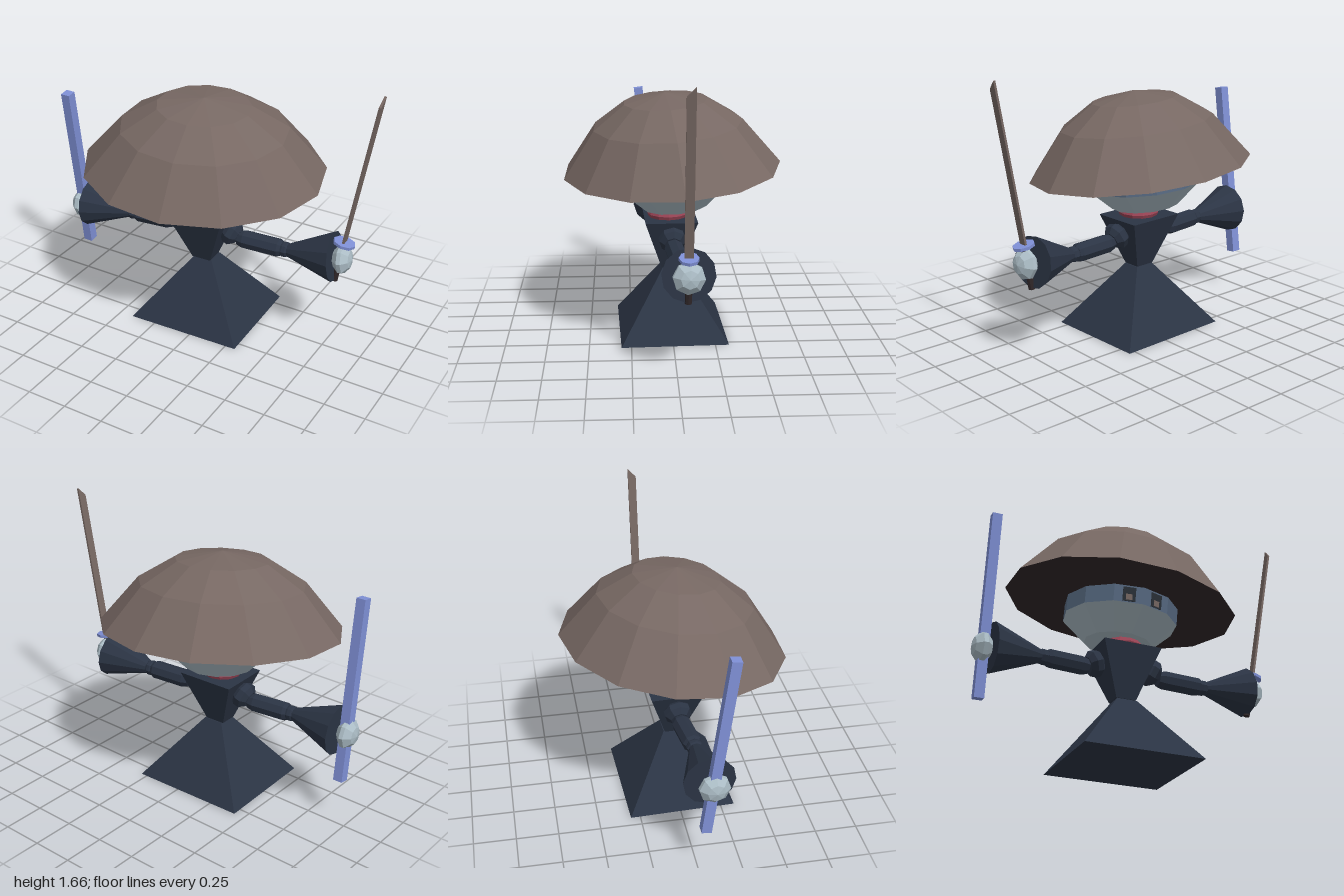
import * as THREE from 'three';

const mat = (name, color) => Object.assign(new THREE.MeshStandardMaterial({ color, flatShading: true }), { name });
const v = (x, y, z) => new THREE.Vector3(x, y, z);
const UP = v(0, 1, 0);

export function createModel() {
  const root = new THREE.Group();
  root.name = 'strawHatSwordsman';

  const cloth = mat('darkCloth', 0x2b3444);
  const straw = mat('strawBrown', 0x776863);
  const darkBrown = mat('darkBrown', 0x31282a);
  const skin = mat('paleSkin', 0xabbcc5);
  const band = mat('blueBand', 0x576a82);
  const scarf = mat('redScarf', 0x984354);
  const blue = mat('swordBlue', 0x7f90d6);
  const eyeDark = mat('eyeDark', 0x2a3038);

  const add = (parent, name, geometry, material, x = 0, y = 0, z = 0) => {
    const m = new THREE.Mesh(geometry, material);
    m.name = name;
    m.position.set(x, y, z);
    parent.add(m);
    return m;
  };
  // Profile given bottom to top as [radius, height]
  const lathe = (pts, sides, start = 0) =>
    new THREE.LatheGeometry(pts.map(p => new THREE.Vector2(...p)), sides, start);
  // Four-sided frustum standing on its base, given half widths
  const frustum = (bottom, top, h, depthRatio) =>
    new THREE.CylinderGeometry(top * Math.SQRT2, bottom * Math.SQRT2, h, 4)
      .rotateY(Math.PI / 4).scale(1, 1, depthRatio).translate(0, h / 2, 0);
  // Turns a part built along +y so that it runs from a to b
  const aim = (mesh, a, b) => {
    mesh.position.copy(a);
    mesh.quaternion.setFromUnitVectors(UP, b.clone().sub(a).normalize());
  };

  // Body: skirt, torso and scarf
  const body = new THREE.Group();
  body.name = 'body';
  body.position.set(-0.06, 0, 0.001);
  body.rotation.y = 0.033;
  root.add(body);
  add(body, 'skirt', frustum(0.362, 0.062, 0.392, 0.885), cloth);
  add(body, 'torso', frustum(0.062, 0.181, 0.313, 0.87), cloth, -0.008, 0.392, 0.006);
  add(body, 'scarf', lathe([[0, 0], [0.115, 0], [0.125, 0.025], [0.11, 0.055], [0, 0.055]], 12),
    scarf, -0.015, 0.7, 0.018);

  // Head and hat share one tilt
  const head = new THREE.Group();
  head.name = 'head';
  head.position.set(-0.075, 1.01, 0.002);
  head.rotation.set(0.08, 0, -0.05);
  root.add(head);

  // Oval hat, its long axis turned towards the left back
  const hat = new THREE.Group();
  hat.name = 'hat';
  hat.rotation.y = 0.343;
  hat.scale.set(1.125, 1, 0.987);
  head.add(hat);
  add(hat, 'hatCrown', lathe([[0.652, 0], [0.447, 0.273], [0.25, 0.41], [0, 0.46]], 13, 2.716), straw);
  add(hat, 'hatUnderside', lathe([[0, 0], [0.652, 0]], 13, 2.716), darkBrown);

  const face = new THREE.Group();
  face.name = 'face';
  face.position.z = -0.01;
  face.rotation.y = 0.045;
  head.add(face);
  const R = 0.345;
  add(face, 'jaw', lathe([[0, -0.275], [0.205, -0.24], [R, -0.105]], 12), skin);
  add(face, 'headBand', new THREE.CylinderGeometry(R, R, 0.125, 12, 1, true), band, 0, -0.0425, 0);
  for (const s of [-1, 1]) {
    const eye = new THREE.Group();
    eye.name = s > 0 ? 'leftEye' : 'rightEye';
    eye.rotation.y = s * Math.PI / 12;
    face.add(eye);
    const z = R * Math.cos(Math.PI / 12);
    add(eye, 'eyePatch', new THREE.BoxGeometry(0.076, 0.088, 0.008), eyeDark, 0, -0.055, z);
    add(eye, 'pupil', new THREE.BoxGeometry(0.038, 0.036, 0.008), straw, 0, -0.073, z + 0.002);
  }

  // Arms: shoulder, upper arm, elbow, flared sleeve, hand
  const buildArm = (name, shoulder, start, elbow, cuff, hand) => {
    const arm = new THREE.Group();
    arm.name = name;
    root.add(arm);
    const len = start.distanceTo(elbow);
    const shoulderPts = [[0, -0.035], [0.055, -0.035], [0.082, -0.005], [0.082, 0.03], [0.052, 0.06], [0, 0.06]];
    aim(add(arm, 'shoulder', lathe(shoulderPts, 8), cloth), shoulder, start);
    const parts = [
      ['upperArm', [[0, -0.02], [0.045, -0.02], [0.057, 0.02], [0.057, len - 0.06], [0.046, len - 0.04], [0, len - 0.04]]],
      ['elbow', [[0, len - 0.05], [0.04, len - 0.05], [0.048, len - 0.03], [0.048, len - 0.01], [0.036, len + 0.01], [0, len + 0.01]]],
    ];
    for (const [n, pts] of parts) aim(add(arm, n, lathe(pts, 8), cloth), start, elbow);
    const sleeveLen = elbow.distanceTo(cuff);
    aim(add(arm, 'sleeve', lathe([[0, 0], [0.04, 0], [0.152, sleeveLen], [0, sleeveLen]], 12), cloth), elbow, cuff);
    // Faceted fist with its poles along the arm
    const fist = lathe([[0, -0.06], [0.052, -0.048], [0.09, -0.012], [0.09, 0.012], [0.052, 0.048], [0, 0.06]], 8);
    aim(add(arm, 'hand', fist, skin), hand, hand.clone().add(cuff).sub(elbow));
  };
  buildArm('leftArm', v(0.105, 0.61, 0), v(0.18, 0.577, -0.006), v(0.485, 0.574, -0.03),
    v(0.77, 0.604, -0.06), v(0.822, 0.605, -0.058));
  buildArm('rightArm', v(-0.235, 0.608, 0.01), v(-0.31, 0.577, 0.016), v(-0.59, 0.577, 0.05),
    v(-0.885, 0.572, 0.068), v(-0.938, 0.56, 0.085));

  // Scabbard held in the right hand
  const low = v(-0.932, 0.27, 0.04), high = v(-0.925, 1.36, 0.182);
  const span = low.distanceTo(high);
  aim(add(root, 'scabbard', new THREE.BoxGeometry(0.058, span, 0.058).translate(0, span / 2, 0), blue), low, high);

  // Sword held in the left hand, origin at the guard
  const sword = new THREE.Group();
  sword.name = 'sword';
  sword.position.set(0.828, 0.714, -0.057);
  sword.rotation.z = -0.178;
  root.add(sword);
  const outline = new THREE.Shape([[-0.025, 0], [0.025, 0], [0.025, 0.91], [-0.025, 0.962]]
    .map(p => new THREE.Vector2(...p)));
  add(sword, 'blade', new THREE.ExtrudeGeometry(outline, { depth: 0.013, bevelEnabled: false })
    .translate(0, 0, -0.0065).rotateY(-Math.PI / 2), straw);
  const guard = add(sword, 'guard', new THREE.CylinderGeometry(0.056, 0.056, 0.018, 8), blue);
  guard.scale.x = 1.2;
  add(sword, 'grip', new THREE.CylinderGeometry(0.02, 0.02, 0.27, 8), darkBrown, 0, -0.135, 0);

  return root;
}
